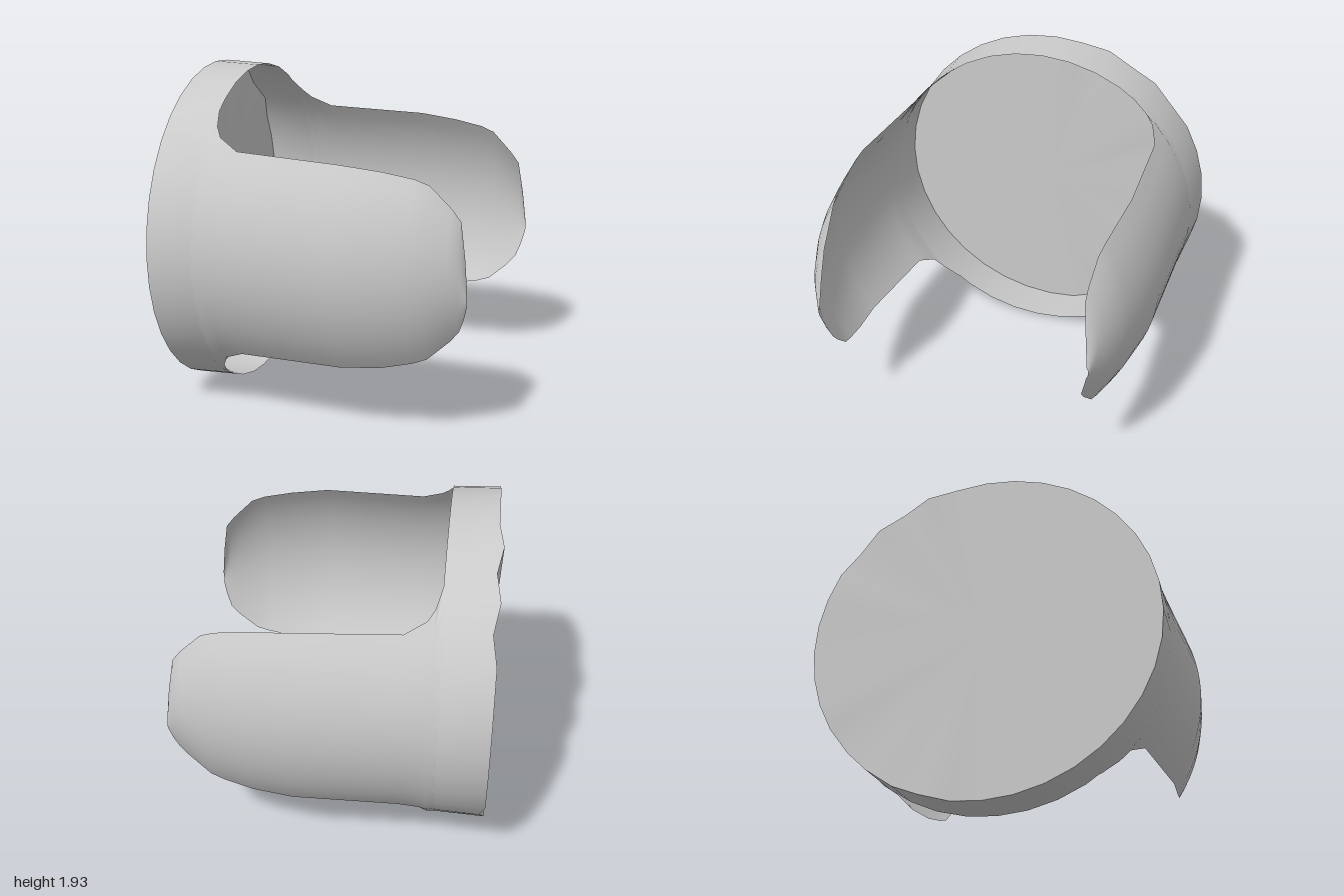
import * as THREE from 'three';
import { toCreasedNormals } from 'three/addons/utils/BufferGeometryUtils.js';

const CY = 0.965;      // height of the axis
const RIM = 0.957;     // rim radius of the cup
const Z_SCALE = 1.02;  // the cup is slightly wider than tall
const SHIFT = -0.015;  // the cup sits slightly towards the back

// Thin shallow cup, axis along x, open towards +x, with an uneven back rim
function cupGeometry() {
  const sides = 36;
  const profile = [[0, -0.875], [0.967, -0.875], [RIM, -0.6]];
  const geo = new THREE.LatheGeometry(profile.map(([r, h]) => new THREE.Vector2(r, h)), sides);
  geo.rotateZ(-Math.PI / 2).scale(1, 1, Z_SCALE);
  const p = geo.attributes.position;
  for (let i = 0; i < p.count; i++) {
    const y = p.getY(i), z = p.getZ(i);
    if (p.getX(i) > -0.85 || z > -0.03) continue;
    const step = Math.round(Math.atan2(z, y) / (2 * Math.PI / sides));
    const notch = Math.abs(y) > 0.5 && step % 2 !== 0;
    if (!notch) p.setX(i, -0.905);
  }
  geo.translate(0, CY, SHIFT);
  return toCreasedNormals(geo, 0.6);
}

// Arm sections: x, z at the long edges, outermost z, lowest y, highest y
const SECTIONS = [
  [-0.62, 0.566, 0.976, 0.185, 1.745],
  [-0.60, 0.566, 0.976, 0.185, 1.745],
  [-0.57, 0.665, 0.977, 0.26, 1.67],
  [-0.53, 0.718, 0.978, 0.33, 1.62],
  [-0.41, 0.770, 0.981, 0.385, 1.56],
  [0.20, 0.810, 1.000, 0.40, 1.54],
  [0.43, 0.792, 0.968, 0.42, 1.515],
  [0.60, 0.775, 0.935, 0.46, 1.485],
  [0.68, 0.765, 0.912, 0.49, 1.455],
  [0.80, 0.752, 0.865, 0.60, 1.335],
  [0.85, 0.752, 0.835, 0.66, 1.27],
  [0.88, 0.772, 0.815, 0.74, 1.08],
  [0.90, 0.790, 0.800, 0.82, 0.89],
];
const ARC = 16;

// Thin curved arm lofted through the sections; side = 1 for +z, -1 for its mirror image
function armGeometry(side) {
  const pos = [], index = [];
  SECTIONS.forEach(([x, edge, zout, lo, hi], i) => {
    const c = (lo + hi) / 2, h = (hi - lo) / 2;
    const base = Math.sqrt(RIM * RIM - h * h);
    const shift = SHIFT * THREE.MathUtils.clamp((0.2 - x) / 0.8, 0, 1);
    for (let k = 0; k <= ARC; k++) {
      const u = (2 * k) / ARC - 1;
      const bulge = (Math.sqrt(RIM * RIM - h * h * u * u) - base) / (RIM - base);
      pos.push(x, c + h * u, side * (edge + (zout - edge) * bulge) + shift);
      if (i === 0 || k === ARC) continue;
      const b = i * (ARC + 1) + k, a = b - ARC - 1;
      if (side > 0) index.push(a, b, a + 1, a + 1, b, b + 1);
      else index.push(a, a + 1, b, a + 1, b + 1, b);
    }
  });
  const geo = new THREE.BufferGeometry();
  geo.setAttribute('position', new THREE.Float32BufferAttribute(pos, 3));
  geo.setIndex(index);
  return toCreasedNormals(geo, 0.6);
}

export function createModel() {
  const grey = new THREE.MeshStandardMaterial({ color: 0xcacaca, side: THREE.DoubleSide });
  grey.name = 'light grey';
  const model = new THREE.Group();
  model.name = 'forkedCap';
  const add = (name, geo) => {
    const mesh = new THREE.Mesh(geo, grey);
    mesh.name = name;
    model.add(mesh);
  };
  add('endCup', cupGeometry());
  add('frontArm', armGeometry(1));
  add('backArm', armGeometry(-1));
  return model;
}
